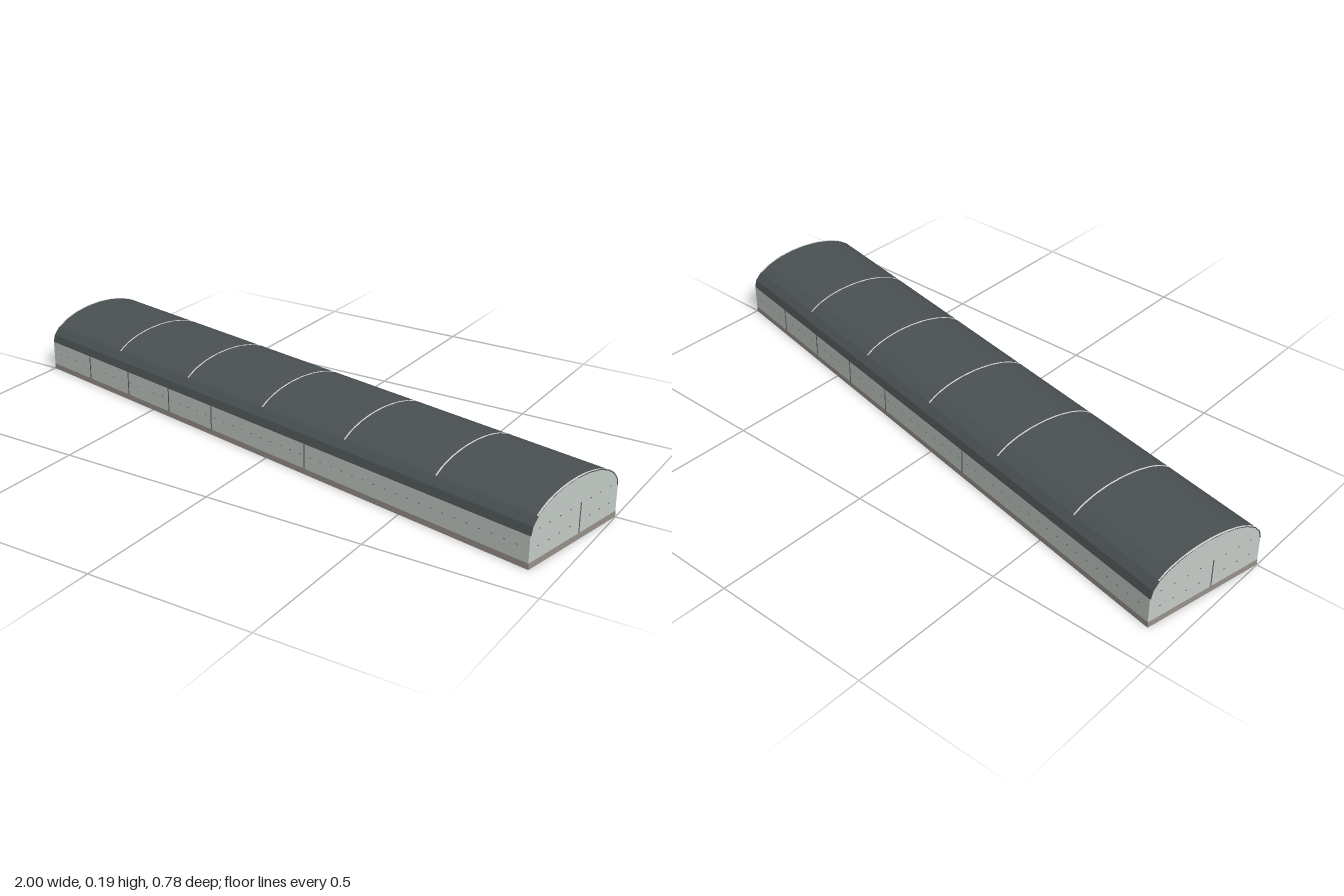
import * as THREE from 'three';

const LENGTH = 1.958, HALF_W = 0.199, EAVE = 0.096, RISE = 0.094, PLINTH = 0.018;
const STEPS = 12;

function material(name, color) {
  const m = new THREE.MeshStandardMaterial({ color });
  m.name = name;
  return m;
}

// Points of the half-elliptical roof line, from the +z eave over to the -z eave
function arch(inset, from = 0, to = Math.PI) {
  const pts = [];
  for (let i = 0; i <= STEPS; i++) {
    const a = from + (to - from) * i / STEPS;
    pts.push(new THREE.Vector2(Math.cos(a) * (HALF_W - inset), EAVE + Math.sin(a) * (RISE - inset)));
  }
  return pts;
}

// Extrude a cross-section along the building, centred at x
function extrudeAlong(points, length, x = 0) {
  const g = new THREE.ExtrudeGeometry(new THREE.Shape(points), { depth: length, bevelEnabled: false });
  g.translate(0, 0, -length / 2);
  g.rotateY(Math.PI / 2);
  g.translate(x, 0, 0);
  return g;
}

export function createModel() {
  const wall = material('pale wall', 0xc5cbc6);
  const roofMat = material('dark roof', 0x4b5153);
  const base = material('concrete plinth', 0x98918b);
  const seamMat = material('dark seam', 0x5d6260);
  const ribMat = material('light roof joint', 0xd5d9d6);

  const building = new THREE.Group();
  building.name = 'longHall';
  const add = (name, geometry, mat, x = 0, y = 0, z = 0) => {
    const mesh = new THREE.Mesh(geometry, mat);
    mesh.name = name;
    mesh.position.set(x, y, z);
    building.add(mesh);
  };

  // Plinth and walls with arched gables
  add('plinth', new THREE.BoxGeometry(LENGTH, PLINTH, HALF_W * 2), base, 0, PLINTH / 2);
  const body = [
    new THREE.Vector2(-HALF_W, PLINTH), new THREE.Vector2(HALF_W, PLINTH),
    new THREE.Vector2(HALF_W, EAVE), ...arch(0.003), new THREE.Vector2(-HALF_W, EAVE),
  ];
  add('walls', extrudeAlong(body, LENGTH - 0.002), wall);

  // Thin faceted roof shell
  add('roof', extrudeAlong([...arch(0), ...arch(0.003).reverse()], LENGTH), roofMat);

  // Light joints across the roof, stopping short of the eaves
  const start = Math.PI / 6;
  const band = [...arch(-0.0006, start, Math.PI - start), ...arch(0.002, start, Math.PI - start).reverse()];
  for (let i = -3; i <= 3; i++) {
    const x = i * LENGTH / 6;
    add('roofJoint', extrudeAlong(band, 0.004, Math.abs(i) === 3 ? x - Math.sign(i) * 0.002 : x), ribMat);
  }

  // Panel seams on both long walls
  const seamH = EAVE - PLINTH;
  const longSeam = new THREE.BoxGeometry(0.004, seamH, 0.001);
  const longRivet = new THREE.BoxGeometry(0.006, 0.002, 0.001);
  for (const side of [-1, 1]) {
    for (const f of [0.1, 0.2, 0.3, 0.4, 0.6]) {
      add('wallSeam', longSeam, seamMat, side * (f - 0.5) * LENGTH, PLINTH + seamH / 2, side * HALF_W);
    }
    // Row of small fixings
    for (let i = 0; i < 48; i++) {
      add('wallFixing', longRivet, seamMat, (i - 23.5) * 0.04, 0.06, side * HALF_W);
    }
  }

  // Seam and fixings on each gable
  const endSeam = new THREE.BoxGeometry(0.002, 0.09, 0.003);
  const endRivet = new THREE.BoxGeometry(0.002, 0.002, 0.005);
  for (const side of [-1, 1]) {
    const x = side * (LENGTH / 2 - 0.001);
    add('gableSeam', endSeam, seamMat, x, PLINTH + 0.045, -side * 0.024);
    for (const y of [0.055, 0.105]) {
      for (let i = 0; i < 8; i++) add('gableFixing', endRivet, seamMat, x, y, (i - 3.5) * 0.046);
    }
  }

  // The hall stands askew to the axes
  building.rotation.y = -0.199;
  const model = new THREE.Group();
  model.name = 'model';
  model.add(building);
  return model;
}
